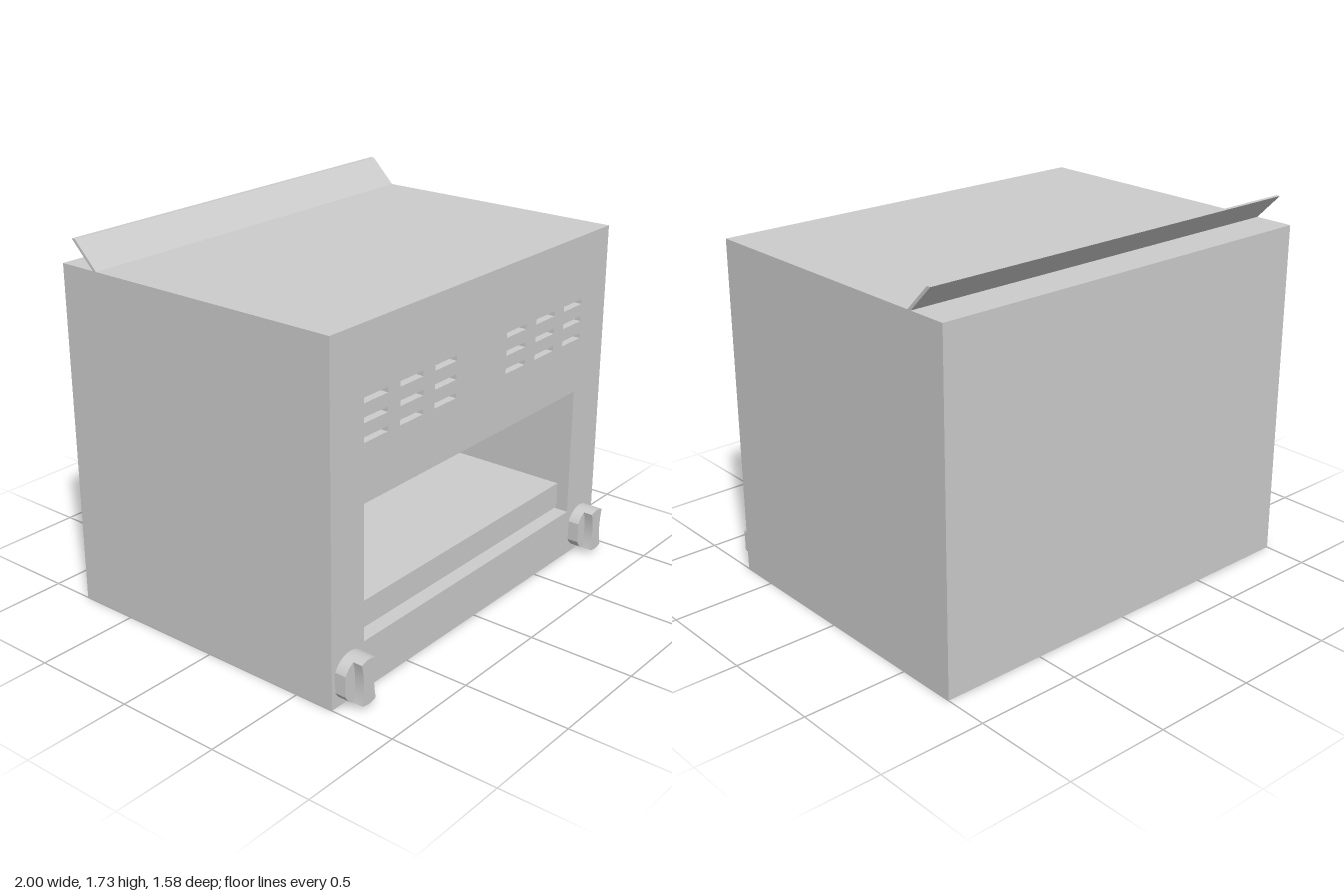
import * as THREE from 'three';

const material = new THREE.MeshStandardMaterial({ color: 0xcccccc, flatShading: true });
const smooth = new THREE.MeshStandardMaterial({ color: 0xcccccc });

function rect(target, x0, y0, x1, y1) {
  target.moveTo(x0, y0);
  target.lineTo(x1, y0);
  target.lineTo(x1, y1);
  target.lineTo(x0, y1);
  target.closePath();
  return target;
}

// Extrude a shape from z0 to z1
function slab(name, shape, z0, z1, mat = material) {
  const geo = new THREE.ExtrudeGeometry(shape, { depth: z1 - z0, bevelEnabled: false, curveSegments: 16 });
  const mesh = new THREE.Mesh(geo, mat);
  mesh.position.z = z0;
  mesh.name = name;
  return mesh;
}

const W = 1, H = 1.612, BACK = -0.79, FRONT = 0.69, PANEL = 0.62;
const outline = () => rect(new THREE.Shape(), -W, 0, W, H);
const opening = () => rect(new THREE.Path(), -0.795, 0.23, 0.77, 0.855);

function createKnob() {
  const knob = new THREE.Group();
  const r = 0.105, a = 0.475;

  // Round base with flattened sides
  const base = new THREE.Shape();
  base.absarc(0, 0, r, a, Math.PI - a, false);
  base.absarc(0, 0, r, Math.PI + a, 2 * Math.PI - a, false);
  base.closePath();
  knob.add(slab('knobBase', base, 0, 0.055, smooth));

  // Waisted finger grip whose ends follow the base
  const b = Math.acos(0.045 / r), y = r * Math.sin(b);
  const grip = new THREE.Shape();
  grip.absarc(0, 0, r, b, Math.PI - b, false);
  grip.quadraticCurveTo(-0.021, 0, -0.045, -y);
  grip.absarc(0, 0, r, Math.PI + b, 2 * Math.PI - b, false);
  grip.quadraticCurveTo(0.021, 0, 0.045, y);
  knob.add(slab('knobGrip', grip, 0.055, 0.1, smooth));
  return knob;
}

export function createModel() {
  const model = new THREE.Group();
  model.name = 'toasterOven';

  // Housing with the deep cooking chamber
  const housing = outline();
  housing.holes.push(opening());
  model.add(slab('housing', housing, -0.74, PANEL));
  model.add(slab('backPanel', outline(), BACK, -0.74));

  // Front panel with the chamber opening and two groups of vent slots
  const panel = outline();
  panel.holes.push(opening());
  for (const start of [-0.797, 0.182])
    for (let col = 0; col < 3; col++)
      for (let row = 0; row < 3; row++) {
        const x = start + col * 0.23, y = 1.117 + row * 0.083;
        panel.holes.push(rect(new THREE.Path(), x, y, x + 0.151, y + 0.024));
      }
  model.add(slab('frontPanel', panel, PANEL, FRONT));

  // Tray inside the chamber
  model.add(slab('tray', rect(new THREE.Shape(), -0.775, 0.25, 0.75, 0.375), -0.73, 0.64));

  // Sloping flap along the rear of the top, drawn in side profile
  const profile = new THREE.Shape([
    new THREE.Vector2(0.582, H), new THREE.Vector2(0.602, H),
    new THREE.Vector2(0.722, 1.732), new THREE.Vector2(0.702, 1.732),
  ]);
  const flap = slab('rearFlap', profile, 0, 2 * W);
  flap.rotation.y = Math.PI / 2;
  flap.position.set(-W, 0, 0);
  model.add(flap);

  // Control knobs
  for (const side of [-1, 1]) {
    const knob = createKnob();
    knob.name = side > 0 ? 'leftKnob' : 'rightKnob';
    knob.position.set(side * 0.885, 0.122, FRONT);
    model.add(knob);
  }
  return model;
}
